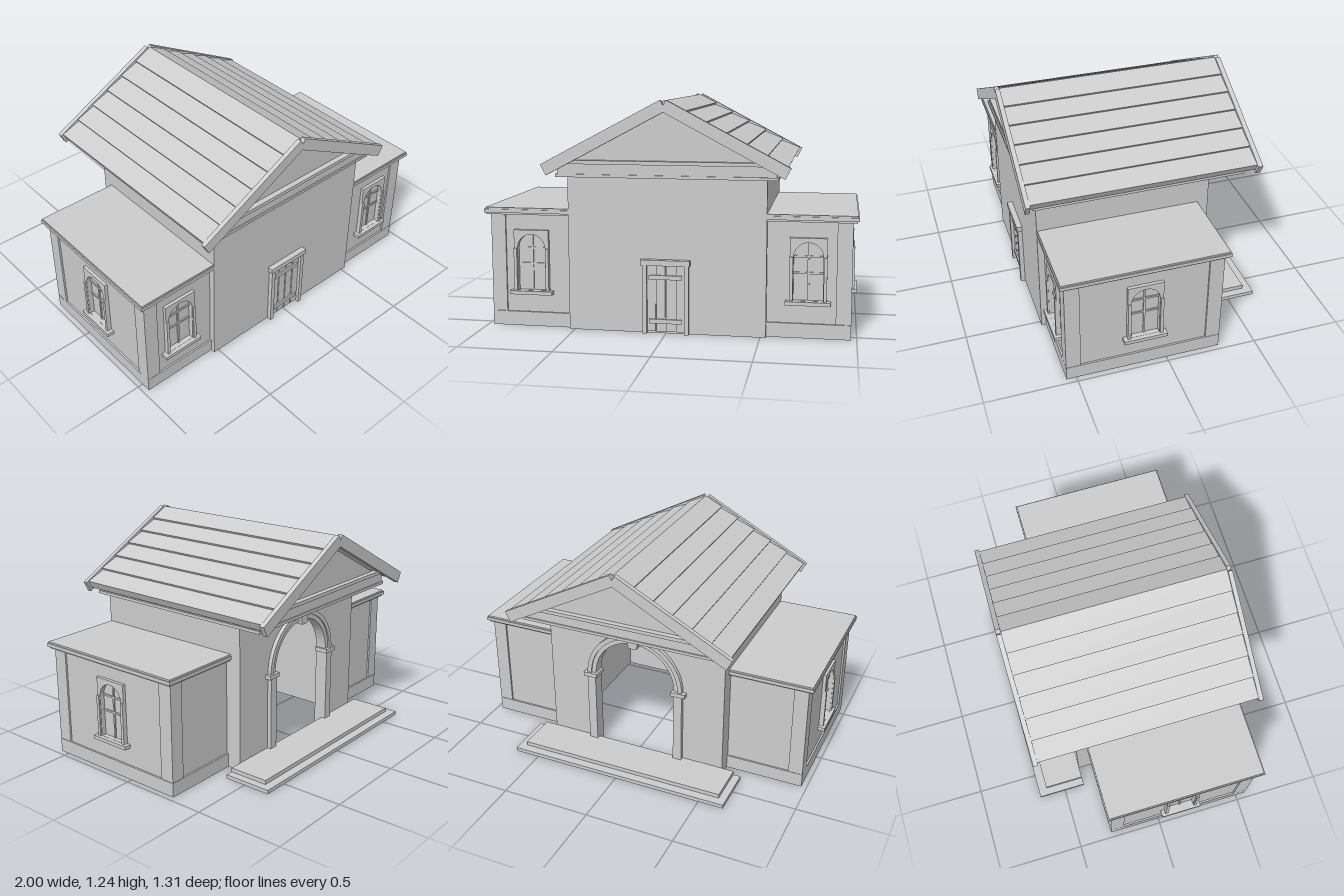
import * as THREE from 'three';

const stone = new THREE.MeshStandardMaterial({ color: 0xcccccc });
stone.name = 'paleStone';

function add(parent, name, geometry) {
  const mesh = new THREE.Mesh(geometry, stone);
  mesh.name = name;
  parent.add(mesh);
  return mesh;
}

// Box given by its limits on each axis
function box(parent, name, x0, x1, y0, y1, z0, z1) {
  const g = new THREE.BoxGeometry(Math.abs(x1 - x0), y1 - y0, z1 - z0);
  g.translate((x0 + x1) / 2, (y0 + y1) / 2, (z0 + z1) / 2);
  return add(parent, name, g);
}

// Flat shape extruded from z0 to z1
function slab(parent, name, shape, z0, z1) {
  const g = new THREE.ExtrudeGeometry(shape, { depth: z1 - z0, bevelEnabled: false, curveSegments: 20 });
  g.translate(0, 0, z0);
  return add(parent, name, g);
}

const poly = (pts) => new THREE.Shape(pts.map(([x, y]) => new THREE.Vector2(x, y)));
const rect = (x0, x1, y0, y1) => poly([[x0, y0], [x1, y0], [x1, y1], [x0, y1]]);

// Round-headed opening, half width w, sill y0, springing line yc
function archShape(w, y0, yc) {
  const s = new THREE.Shape();
  s.moveTo(-w, y0);
  s.lineTo(w, y0);
  s.lineTo(w, yc);
  s.absarc(0, yc, w, 0, Math.PI, false);
  s.lineTo(-w, y0);
  return s;
}

// Wall with an arched window; outer face at local z = 0
function windowWall(width) {
  const g = new THREE.Group();
  g.name = 'windowWall';
  const wall = rect(-width / 2, width / 2, 0.02, 0.63);
  wall.holes.push(archShape(0.077, 0.2, 0.432));
  slab(g, 'wall', wall, -0.045, 0);
  const frame = rect(-0.097, 0.097, 0.2, 0.533);
  frame.holes.push(archShape(0.077, 0.201, 0.432));
  slab(g, 'windowFrame', frame, 0, 0.018);
  slab(g, 'windowPane', archShape(0.077, 0.2, 0.432), -0.018, -0.01);
  box(g, 'windowMullion', -0.005, 0.005, 0.2, 0.505, -0.024, -0.003);
  box(g, 'windowTransom', -0.077, 0.077, 0.34, 0.35, -0.024, -0.003);
  box(g, 'windowTransom', -0.077, 0.077, 0.427, 0.437, -0.024, -0.003);
  for (const s of [-1, 1]) box(g, 'windowJamb', s * 0.08, s * 0.097, 0.2, 0.432, 0, 0.026);
  box(g, 'windowSill', -0.118, 0.118, 0.18, 0.2, 0, 0.04);
  return g;
}

// Low flat-roofed side wing; s is the side
function wing(s) {
  const g = new THREE.Group();
  g.name = s > 0 ? 'leftWing' : 'rightWing';
  const b = (name, x0, x1, ...r) => box(g, name, s * x0, s * x1, ...r);

  const front = windowWall(0.43);
  front.position.set(s * 0.745, 0, 0.545);
  const side = windowWall(0.833);
  side.rotation.y = s * Math.PI / 2;
  side.position.set(s * 0.96, 0, 0.127);
  g.add(front, side);
  b('backWall', 0.53, 0.96, 0.02, 0.63, -0.29, -0.245);

  // Plinth
  b('plinthFront', 0.53, 0.97, 0, 0.078, 0.495, 0.555);
  b('plinthBack', 0.53, 0.97, 0, 0.078, -0.3, -0.24);
  b('plinthSide', 0.91, 0.97, 0, 0.078, -0.24, 0.495);

  // Corner pilasters wrap both faces
  for (const [z0, z1, f0, f1] of [[0.475, 0.555, 0.54, 0.555], [-0.3, -0.22, -0.3, -0.285]]) {
    b('cornerPilaster', 0.89, 0.97, 0.08, 0.617, f0, f1);
    b('cornerPilaster', 0.955, 0.97, 0.08, 0.617, z0, z1);
  }

  // Flat roof with a stepped cornice
  b('cornice', 0.53, 0.99, 0.617, 0.627, -0.315, 0.572);
  b('cornice', 0.53, 1, 0.627, 0.646, -0.325, 0.582);
  b('flatRoof', 0.53, 0.994, 0.646, 0.655, -0.319, 0.576);
  return g;
}

function mainHall() {
  const g = new THREE.Group();
  g.name = 'mainHall';
  box(g, 'frontWall', -0.53, 0.53, 0, 0.83, 0.53, 0.58);
  for (const s of [-1, 1]) box(g, 'sideWall', s * 0.48, s * 0.53, 0, 0.83, -0.33, 0.53);

  // Back wall with the open archway
  const w = 0.24, yc = 0.485;
  const wall = new THREE.Shape();
  wall.moveTo(-0.53, 0);
  wall.lineTo(-w, 0);
  wall.lineTo(-w, yc);
  wall.absarc(0, yc, w, Math.PI, 0, true);
  wall.lineTo(w, 0);
  wall.lineTo(0.53, 0);
  wall.lineTo(0.53, 0.83);
  wall.lineTo(-0.53, 0.83);
  slab(g, 'backWall', wall, -0.38, -0.33);

  // Arch surround
  for (const [r0, r1, z] of [[w, 0.275, -0.394], [0.265, 0.29, -0.402]]) {
    const ring = new THREE.Shape();
    ring.absarc(0, yc, r1, 0, Math.PI, false);
    ring.absarc(0, yc, r0, Math.PI, 0, true);
    slab(g, 'archMoulding', ring, z, -0.38);
  }
  for (const s of [-1, 1]) {
    box(g, 'archJamb', s * w, s * 0.29, 0.045, 0.462, -0.404, -0.38);
    box(g, 'archImpost', s * 0.228, s * 0.31, 0.462, 0.486, -0.412, -0.33);
  }
  slab(g, 'keystone', poly([[-0.024, 0.705], [0.024, 0.705], [0.04, 0.785], [-0.04, 0.785]]), -0.414, -0.375);

  // Back steps
  box(g, 'lowerStep', -0.642, 0.642, 0, 0.022, -0.655, -0.38);
  box(g, 'upperStep', -0.6, 0.6, 0.022, 0.045, -0.607, -0.38);
  return g;
}

function door() {
  const g = new THREE.Group();
  g.name = 'door';
  for (let i = 0; i < 4; i++) {
    const x = -0.105 + i * 0.0525;
    box(g, 'doorPlank', x + 0.003, x + 0.0495, 0.01, 0.37, 0.575, 0.587);
  }
  for (const y of [0.055, 0.293]) box(g, 'doorBatten', -0.09, 0.088, y, y + 0.023, 0.585, 0.596);
  for (const s of [-1, 1]) box(g, 'doorPost', s * 0.1, s * 0.124, 0, 0.37, 0.58, 0.605);
  box(g, 'doorLintel', -0.133, 0.131, 0.37, 0.4, 0.58, 0.611);
  return g;
}

function roof() {
  const g = new THREE.Group();
  g.name = 'roof';
  // Entablature and gable infill
  box(g, 'architrave', -0.59, 0.59, 0.83, 0.846, -0.555, 0.605);
  box(g, 'frieze', -0.58, 0.58, 0.846, 0.9, -0.548, 0.598);
  box(g, 'pedimentLedge', -0.535, 0.535, 0.9, 0.92, -0.56, 0.61);
  slab(g, 'pediment', poly([[-0.59, 0.87], [0.59, 0.87], [0, 1.185]]), -0.53, 0.58);

  for (const s of [-1, 1]) {
    // Six lapped courses, each ending in a small step
    const pts = [[0, 1.235]];
    for (let i = 1; i <= 6; i++) {
      const x = 0.1067 * i, y = 1.238 - 0.0555 * i;
      pts.push([x, y]);
      if (i < 6) pts.push([x - 0.0056, y - 0.0106]);
    }
    pts.push([0.62, 0.865], [0, 1.194]);
    const mirror = (list) => poly(list.map(([x, y]) => [s * x, y]));
    slab(g, 'roofSlope', mirror(pts), -0.605, 0.63);

    // Sloping gable boards
    const board = mirror([[0, 1.176], [0.625, 0.843], [0.655, 0.9], [0.015, 1.239], [0, 1.212]]);
    slab(g, 'gableBoard', board, 0.63, 0.655);
    slab(g, 'gableBoard', board, -0.632, -0.605);
  }
  return g;
}

export function createModel() {
  const model = new THREE.Group();
  model.name = 'gabledHall';
  model.add(mainHall(), wing(1), wing(-1), door(), roof());
  return model;
}
